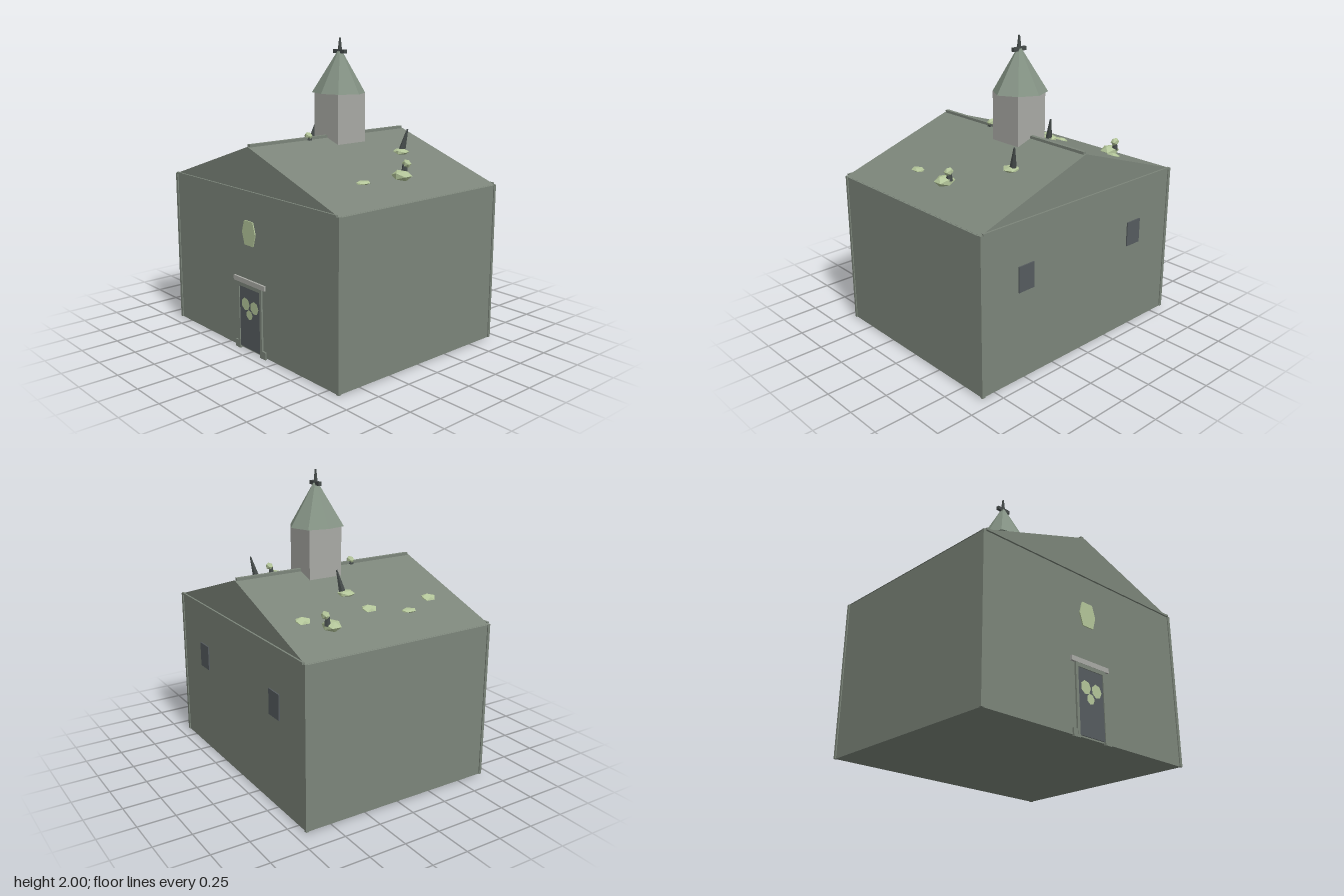
import * as THREE from 'three';

const mat = (name, color, opts = {}) => {
  const m = new THREE.MeshStandardMaterial({ color, flatShading: true, ...opts });
  m.name = name;
  return m;
};

export function createModel() {
  const stone = mat('greenStone', 0x7c857a);
  const slate = mat('spireSlate', 0x849284);
  const pale = mat('paleStone', 0xa9aaa5);
  const moss = mat('moss', 0xb4c69a);
  const dark = mat('darkGlass', 0x565c5f);
  const iron = mat('iron', 0x454b4a);

  const model = new THREE.Group();
  model.name = 'chapel';
  const add = (name, geo, material, x = 0, y = 0, z = 0) => {
    const mesh = new THREE.Mesh(geo, material);
    mesh.name = name;
    mesh.position.set(x, y, z);
    model.add(mesh);
    return mesh;
  };
  const box = (name, material, w, h, d, x, y, z) =>
    add(name, new THREE.BoxGeometry(w, h, d), material, x, y, z);
  // Box given by its limits in x and y, and depth range in z
  const span = (name, material, x0, x1, y0, y1, z0, z1) =>
    box(name, material, x1 - x0, y1 - y0, z1 - z0, (x0 + x1) / 2, (y0 + y1) / 2, (z0 + z1) / 2);

  // Walls and corner posts
  span('walls', stone, -0.853, 0.853, 0.01, 1.065, -0.678, 0.678);
  for (const sx of [-1, 1]) for (const sz of [-1, 1])
    box('cornerPost', stone, 0.022, 1.055, 0.018, sx * 0.849, 0.5375, sz * 0.676);

  // Gabled roof, gable strips and ridge beam
  const gable = new THREE.Shape();
  gable.moveTo(-0.86, 1.062);
  gable.lineTo(0.86, 1.062);
  gable.lineTo(0, 1.352);
  const roof = new THREE.ExtrudeGeometry(gable, { depth: 1.356, bevelEnabled: false });
  add('roof', roof, stone, 0, 0, -0.678);
  for (const sz of [-1, 1]) box('gableStrip', stone, 1.68, 0.014, 0.016, 0, 1.068, sz * 0.682);
  box('ridgeBeam', stone, 0.024, 0.026, 1.335, 0, 1.353, 0);

  // Bell tower
  const tz = -0.083;
  span('tower', pale, -0.12, 0.12, 1.31, 1.64, tz - 0.12, tz + 0.12);

  // Slightly uneven eight-sided spire
  const rim = [[0.19, 0], [0.12, 0.12], [0, 0.165], [-0.135, 0.13], [-0.16, 0], [-0.13, -0.135], [0, -0.185], [0.12, -0.12]];
  const tri = [];
  rim.forEach(([x, z], i) => {
    const [x2, z2] = rim[(i + 1) % rim.length];
    tri.push(x, 0, z, 0, 0.3, 0, x2, 0, z2);
    tri.push(x, 0, z, x2, 0, z2, 0, 0, 0);
  });
  const spire = new THREE.BufferGeometry();
  spire.setAttribute('position', new THREE.Float32BufferAttribute(tri, 3));
  spire.computeVertexNormals();
  add('spire', spire, slate, 0, 1.64, tz);

  // Finial with crossbar
  add('finial', new THREE.CylinderGeometry(0.006, 0.017, 0.1, 6), iron, 0, 1.95, tz);
  box('finialBar', iron, 0.11, 0.025, 0.024, 0, 1.912, tz);

  // Doorway
  span('door', dark, -0.11, 0.11, 0.02, 0.435, 0.676, 0.684);
  span('lintel', pale, -0.165, 0.165, 0.46, 0.492, 0.676, 0.692);
  span('doorHead', stone, -0.13, 0.13, 0.435, 0.46, 0.676, 0.69);
  for (const s of [-1, 1]) {
    box('doorPost', stone, 0.02, 0.45, 0.016, s * 0.12, 0.225, 0.682);
    box('doorFoot', stone, 0.035, 0.05, 0.014, s * 0.146, 0.025, 0.682);
  }
  for (const [x, y, r] of [[-0.045, 0.32, 0.044], [0.05, 0.315, 0.044], [-0.005, 0.255, 0.034]])
    add('doorMoss', new THREE.CircleGeometry(r, 7), moss, x, y, 0.686);

  // Six-sided gable window
  const hex = new THREE.Shape([[-0.07, 0.8], [-0.045, 0.72], [0.045, 0.72], [0.07, 0.8], [0.045, 0.88], [-0.045, 0.88]]
    .map(([x, y]) => new THREE.Vector2(x, y)));
  add('frontWindow', new THREE.ExtrudeGeometry(hex, { depth: 0.008, bevelEnabled: false }), moss, 0, 0, 0.677);

  // Back windows
  for (const x of [-0.49, 0.5]) box('backWindow', dark, 0.125, 0.17, 0.009, x, 0.695, -0.682);

  // Roof growths: flattened clumps, some carrying a bud or a thorn
  const roofY = x => 1.352 - 0.29 * Math.abs(x) / 0.86;
  const clump = (name, x, y, z, rx, ry, rz, turn = 0) => {
    const mesh = add(name, new THREE.IcosahedronGeometry(1, 0), moss, x, y, z);
    mesh.scale.set(rx, ry, rz);
    mesh.rotation.y = turn;
    return mesh;
  };
  for (const z of [-0.48, 0, 0.47])
    clump('flatMoss', -0.495, roofY(0.495), z, 0.04, 0.02, 0.058).rotation.z = 0.32;
  for (const x of [-0.58, 0.58]) clump('smallMoss', x, roofY(x), 0.245, 0.042, 0.014, 0.058);

  for (const [x, z] of [[-0.61, -0.35], [0.61, -0.06]]) {
    clump('budMoss', x, 1.168, z, 0.072, 0.037, 0.06);
    add('budStem', new THREE.CylinderGeometry(0.014, 0.022, 0.06, 6), iron, x - 0.01, 1.205, z - 0.035);
    clump('bud', x, 1.238, z - 0.043, 0.034, 0.028, 0.026);
  }
  const up = new THREE.Vector3(0, 1, 0);
  for (const [x, z, tipX] of [[-0.315, -0.055, -0.278], [0.315, -0.35, 0.332]]) {
    clump('thornMoss', x, 1.25, z, 0.06, 0.022, 0.06, 0.4);
    const base = new THREE.Vector3(tipX - 0.02, 1.24, z - 0.01);
    const tip = new THREE.Vector3(tipX, 1.4, z - 0.045);
    const dir = tip.clone().sub(base);
    const thorn = add('thorn', new THREE.CylinderGeometry(0.005, 0.026, dir.length(), 6), iron);
    thorn.position.copy(base).add(tip).multiplyScalar(0.5);
    thorn.quaternion.setFromUnitVectors(up, dir.normalize());
  }
  add('ridgeStem', new THREE.CylinderGeometry(0.02, 0.026, 0.03, 6), iron, 0, 1.355, 0.19);
  clump('ridgeBud', 0, 1.374, 0.19, 0.033, 0.026, 0.025);

  return model;
}
